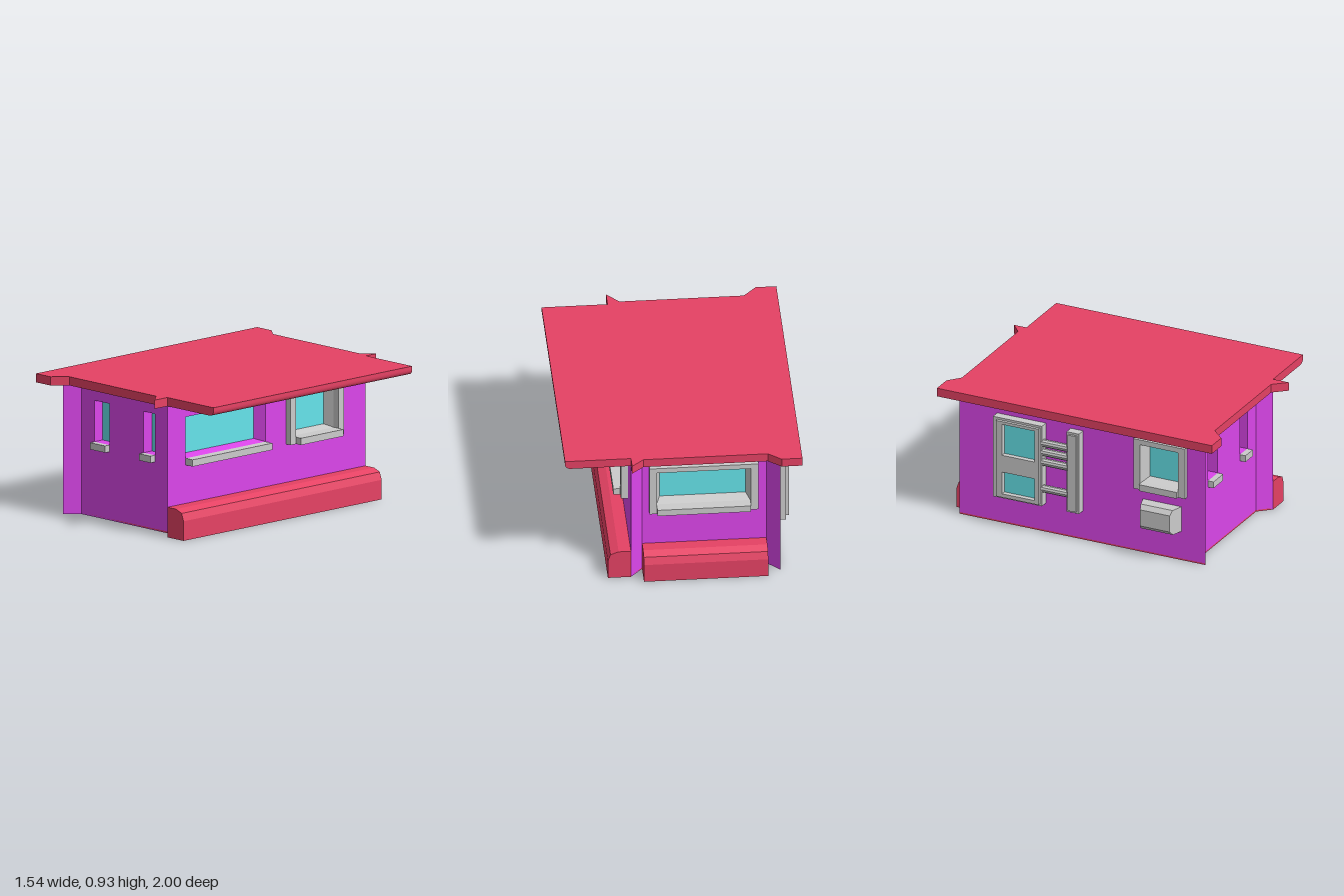
import * as THREE from 'three';

const mat = (color) => new THREE.MeshStandardMaterial({ color, flatShading: true });
const PURPLE = mat(0xdc46eb), RED = mat(0xe64264), TEAL = mat(0x66e4eb), GREY = mat(0xcccccc);

function add(parent, geometry, material, name, x = 0, y = 0, z = 0) {
  const mesh = new THREE.Mesh(geometry, material);
  mesh.name = name;
  mesh.position.set(x, y, z);
  parent.add(mesh);
  return mesh;
}

// box given by its minimum and maximum corners
function block(parent, material, name, [x0, x1], [y0, y1], [z0, z1]) {
  return add(parent, new THREE.BoxGeometry(x1 - x0, y1 - y0, z1 - z0), material, name,
    (x0 + x1) / 2, (y0 + y1) / 2, (z0 + z1) / 2);
}

const polygon = (points) => new THREE.Shape(points.map(([x, y]) => new THREE.Vector2(x, y)));
const corners = ([x0, x1, y0, y1]) => [[x0, y0], [x1, y0], [x1, y1], [x0, y1]];
const extrude = (shape, depth) => new THREE.ExtrudeGeometry(shape, { depth, bevelEnabled: false });

// rectangle with rectangular holes; a rectangle is [x0, x1, y0, y1]
function panel(rect, holes, depth) {
  const shape = polygon(corners(rect));
  shape.holes = holes.map((h) => new THREE.Path(corners(h).reverse().map(([x, y]) => new THREE.Vector2(x, y))));
  return extrude(shape, depth);
}

// plan outline in (x, z), raised from y0 to y1
function slab(parent, points, y0, y1, material, name) {
  const geometry = extrude(polygon(points.map(([x, z]) => [x, -z])), y1 - y0);
  geometry.rotateX(-Math.PI / 2);
  return add(parent, geometry, material, name, 0, y0, 0);
}

// sloping lining from an outer rectangle at the front to a smaller one at the back
function lining(outer, inner, zFront, zBack) {
  const a = corners(outer), b = corners(inner), pos = [];
  for (let i = 0; i < 4; i++) {
    const j = (i + 1) % 4;
    const A = [...a[i], zFront], B = [...a[j], zFront], C = [...b[j], zBack], D = [...b[i], zBack];
    pos.push(...A, ...B, ...C, ...A, ...C, ...D);
  }
  const geometry = new THREE.BufferGeometry();
  geometry.setAttribute('position', new THREE.Float32BufferAttribute(pos, 3));
  geometry.computeVertexNormals();
  return geometry;
}

const inset = ([x0, x1, y0, y1], s, t = s) => [x0 + s, x1 - s, y0 + t, y1 - t];
const DEPTH = 0.08;

// wall in local space: its outside lies at z = 0 and faces +z
function wall(parent, name, angle, x, z, u0, u1, windows) {
  const group = new THREE.Group();
  group.name = name;
  group.rotation.y = angle;
  group.position.set(x, 0, z);
  parent.add(group);
  add(group, panel([u0, u1, 0, 0.88], windows.map((w) => w.rect), DEPTH), PURPLE, name + 'Panel', 0, 0, -DEPTH);
  for (const { rect, taper = 0, frame = 0, sill } of windows) {
    const [a, b, c, d] = rect;
    block(group, TEAL, 'windowGlass', [a, b], [c, d], [-DEPTH - 0.02, -DEPTH + 0.005]);
    if (taper) add(group, lining(rect, inset(rect, taper, 0.015), 0, -DEPTH + 0.006), frame ? GREY : PURPLE, 'windowLining');
    if (frame) add(group, panel([a - 0.05, b + 0.05, c - 0.045, d + 0.035], [rect], frame), GREY, 'windowFrame');
    block(group, GREY, 'windowSill', [a, b], [c - 0.045, c], [0, sill]);
  }
  return group;
}

// ledge with a rounded top outer edge, running along local x
function ledge(parent, material, name, u0, u1) {
  const shape = polygon([[0, 0], [0.15, 0], [0.15, 0.13], [0.133, 0.18], [0.08, 0.2], [0, 0.2]]);
  const geometry = extrude(shape, u1 - u0);
  geometry.rotateY(-Math.PI / 2);
  return add(parent, geometry, material, name, u1, 0, 0);
}

export function createModel() {
  const model = new THREE.Group();
  model.name = 'house';

  // walls with their windows
  wall(model, 'frontWall', 0, 0, 0.8, -0.55, 0.26, [
    { rect: [-0.43, -0.29, 0.5, 0.775], sill: 0.04 },
    { rect: [0.03, 0.135, 0.5, 0.775], sill: 0.04 },
  ]);
  const right = wall(model, 'eaveWall', Math.PI / 2, 0.34, 0, -0.8, 0.82, [
    { rect: [-0.72, 0, 0.5, 0.775], taper: 0.036, sill: 0.065 },
    { rect: [0.235, 0.617, 0.5, 0.775], taper: 0.02, frame: 0.045, sill: 0.09 },
  ]);
  const back = wall(model, 'backWall', Math.PI, 0, -0.82, -0.26, 0.55, [
    { rect: [-0.165, 0.445, 0.5, 0.775], taper: 0.025, frame: 0.045, sill: 0.07 },
  ]);
  const left = wall(model, 'doorWall', -Math.PI / 2, -0.635, 0, -0.82, 0.8, [
    { rect: [0.425, 0.7, 0.5, 0.775], taper: 0.02, frame: 0.03, sill: 0.05 },
  ]);

  // flared wall corners
  for (const [main, tip] of [[0.8, 0.885], [-0.82, -0.905]]) {
    for (const [inner, outer] of [[0.26, 0.34], [-0.55, -0.635]]) {
      slab(model, [[inner, main], [outer, tip], [outer, main]], 0, 0.88, PURPLE, 'flaredCorner');
    }
  }

  // floor
  slab(model, [[-0.635, 0.885], [-0.55, 0.8], [0.26, 0.8], [0.34, 0.885],
    [0.34, -0.905], [0.26, -0.82], [-0.55, -0.82], [-0.635, -0.905]], -0.001, 0.01, RED, 'floor').position.y = 0;

  // roof following the flared ends, with a wide eave rounded underneath
  slab(model, [[-0.77, 1], [-0.635, 1], [-0.55, 0.91], [0.26, 0.91], [0.34, 1],
    [0.34, -1], [0.26, -0.93], [-0.55, -0.93], [-0.635, -1], [-0.77, -1]], 0.872, 0.93, RED, 'roof');
  const eave = new THREE.Shape();
  eave.moveTo(0.34, 0.872);
  eave.lineTo(0.73, 0.872);
  eave.quadraticCurveTo(0.77, 0.872, 0.77, 0.912);
  eave.lineTo(0.77, 0.93);
  eave.lineTo(0.34, 0.93);
  add(model, extrude(eave, 1.795), RED, 'roofEave', 0, 0, -0.91);

  // rounded ledges at the foot of two walls
  ledge(right, RED, 'sideLedge', -0.885, 0.905);
  ledge(back, RED, 'backLedge', -0.26, 0.55);

  // door leaf with two panes
  const panes = [[-0.555, -0.32, 0.52, 0.74], [-0.555, -0.32, 0.245, 0.4]];
  add(left, panel([-0.63, -0.275, 0.205, 0.775], panes, 0.06), GREY, 'doorFrame');
  add(left, panel([-0.6, -0.29, 0.22, 0.76], panes, 0.02), GREY, 'doorFace', 0, 0, 0.06);
  for (const [a, b, c, d] of panes) block(left, TEAL, 'doorGlass', [a, b], [c, d], [0, 0.045]);

  // post beside the door, joined by rods
  block(left, GREY, 'doorPost', [-0.095, -0.005], [0.205, 0.775], [0, 0.06]);
  block(left, GREY, 'postFace', [-0.08, -0.02], [0.22, 0.76], [0.05, 0.075]);
  for (const y of [0.65, 0.585, 0.515, 0.325]) {
    add(left, new THREE.CylinderGeometry(0.026, 0.026, 0.19, 10), GREY, 'doorRod', -0.185, y, 0.04).rotation.z = Math.PI / 2;
  }

  // wall box with chamfered outer edges, narrowing outward
  const box = extrude(polygon([[0, 0.205], [0.075, 0.205], [0.105, 0.235], [0.105, 0.35], [0.08, 0.38], [0, 0.38]]), 0.28);
  box.rotateY(-Math.PI / 2);
  const p = box.attributes.position;
  for (let i = 0; i < p.count; i++) p.setX(i, -0.14 + (p.getX(i) + 0.14) * (1 - 2.2 * p.getZ(i)));
  box.computeVertexNormals();
  add(left, box, GREY, 'wallBox', 0.71, 0, 0);

  return model;
}
